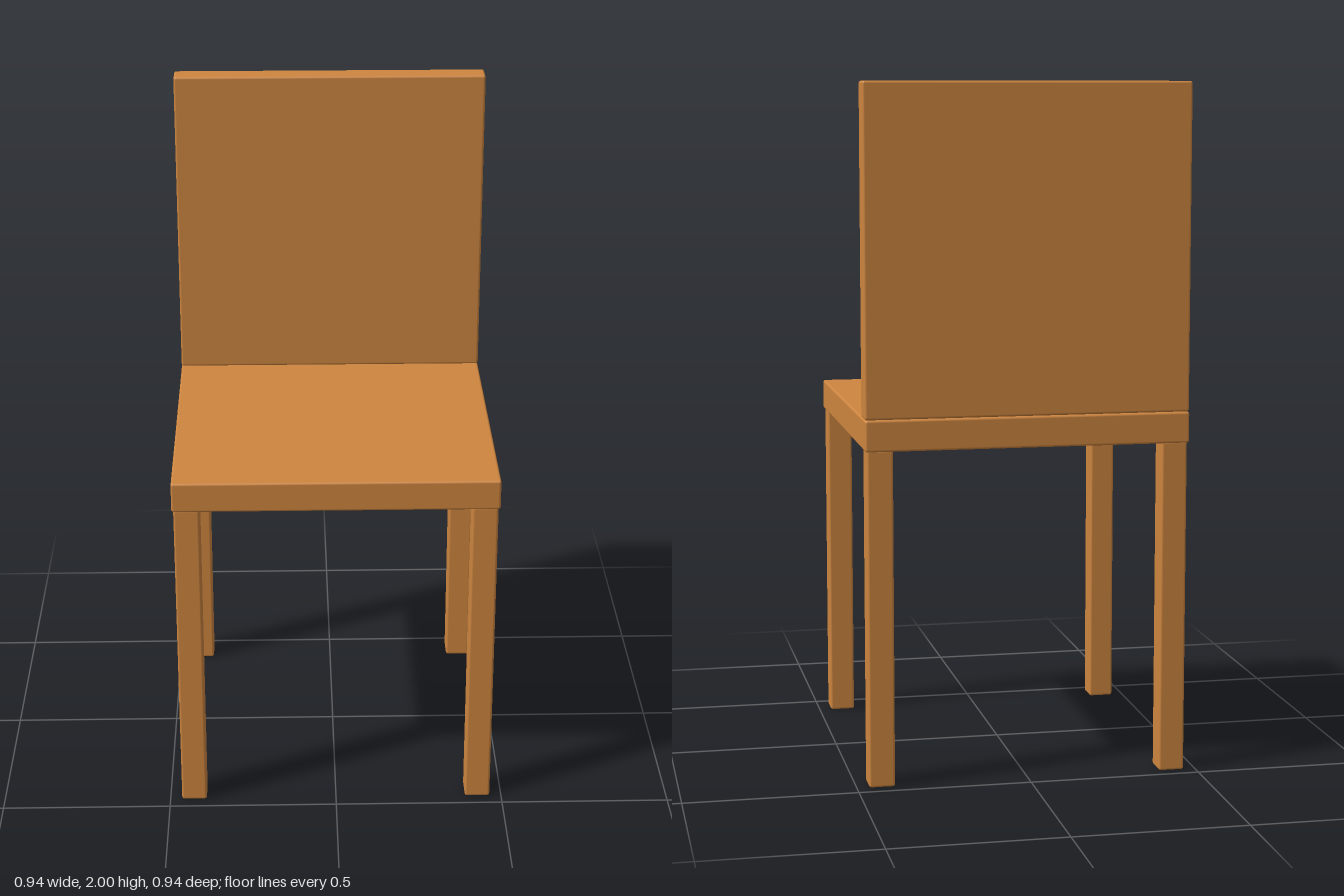
import * as THREE from 'three';
import { RoundedBoxGeometry } from 'three/addons/geometries/RoundedBoxGeometry.js';

const BEVEL = 0.007;

export function createModel() {
  const chair = new THREE.Group();
  chair.name = 'chair';
  const wood = new THREE.MeshStandardMaterial({ color: 0xcd853f });
  wood.name = 'warm wood';

  // Board with softened edges, placed by its centre
  function board(name, size, position) {
    const mesh = new THREE.Mesh(new RoundedBoxGeometry(...size, 2, BEVEL), wood);
    mesh.name = name;
    mesh.position.set(...position);
    chair.add(mesh);
  }

  // Seat and backrest
  board('seat', [0.94, 0.09, 0.94], [0, 1.015, 0]);
  board('backrest', [0.94, 0.94, 0.075], [0, 1.53, -0.4275]);

  // Four square legs, tucked just inside the seat corners
  for (const [side, sx] of [['Left', 1], ['Right', -1]]) {
    for (const [end, sz] of [['front', 1], ['back', -1]]) {
      board(`${end}${side}Leg`, [0.075, 0.975, 0.075], [sx * 0.4275, 0.4875, sz * 0.4275]);
    }
  }
  return chair;
}
